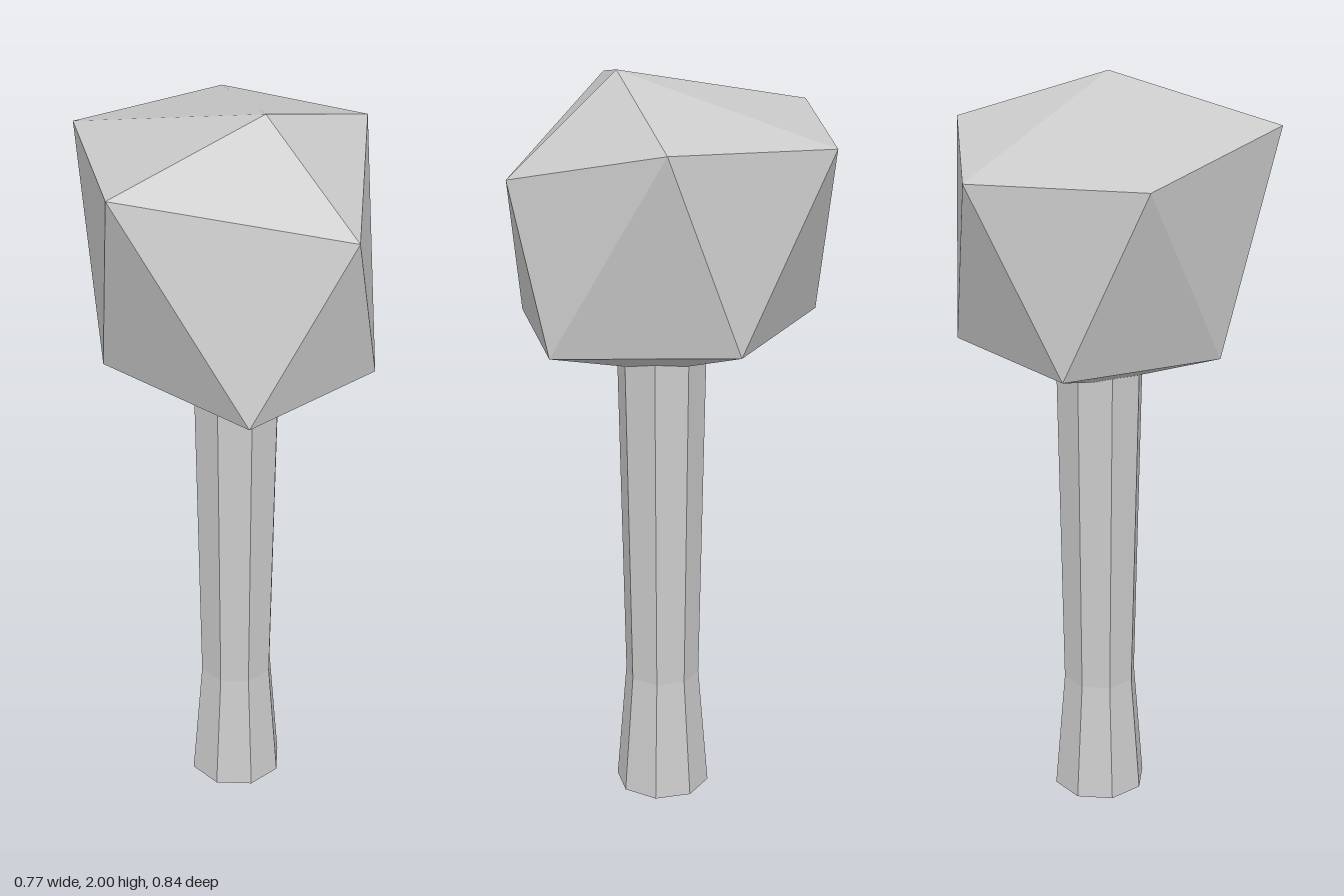
import * as THREE from 'three';

// Rough stone head: a twisted, irregular icosahedron made of two rings and two tips.
function headGeometry() {
  const top = [0.045, 2.0, 0.137];
  const bottom = [0.0, 1.2, 0.03];
  const upper = [
    [-0.39, 1.89, 0.245], [0.19, 1.75, 0.39], [0.385, 1.88, -0.04],
    [0.135, 1.845, -0.42], [-0.305, 1.857, -0.3],
  ];
  const lower = [
    [-0.097, 1.315, 0.418], [0.293, 1.325, 0.27], [0.293, 1.352, -0.21],
    [-0.097, 1.357, -0.355], [-0.34, 1.335, 0.02],
  ];
  const corners = [];
  for (let i = 0; i < 5; i++) {
    const j = (i + 1) % 5;
    corners.push(
      top, upper[i], upper[j],
      upper[i], lower[i], upper[j],
      lower[i], lower[j], upper[j],
      bottom, lower[j], lower[i],
    );
  }
  const geometry = new THREE.BufferGeometry();
  geometry.setAttribute('position', new THREE.Float32BufferAttribute(corners.flat(), 3));
  geometry.computeVertexNormals();
  return geometry;
}

// Eight-sided handle: flared foot, narrow waist, slightly wider at the head.
function handleGeometry() {
  const profile = [[0, 0], [0.126, 0], [0.099, 0.335], [0.117, 1.27], [0, 1.27]]
    .map(([r, y]) => new THREE.Vector2(r, y));
  const geometry = new THREE.LatheGeometry(profile, 8).toNonIndexed();
  geometry.computeVertexNormals();
  return geometry;
}

export function createModel() {
  const material = new THREE.MeshStandardMaterial({ color: 0xcccccc, flatShading: true });
  const group = new THREE.Group();
  group.name = 'mallet';

  const head = new THREE.Mesh(headGeometry(), material);
  head.name = 'head';

  const handle = new THREE.Mesh(handleGeometry(), material);
  handle.name = 'handle';
  handle.position.set(0.012, 0, 0.031);

  group.add(head, handle);
  return group;
}
